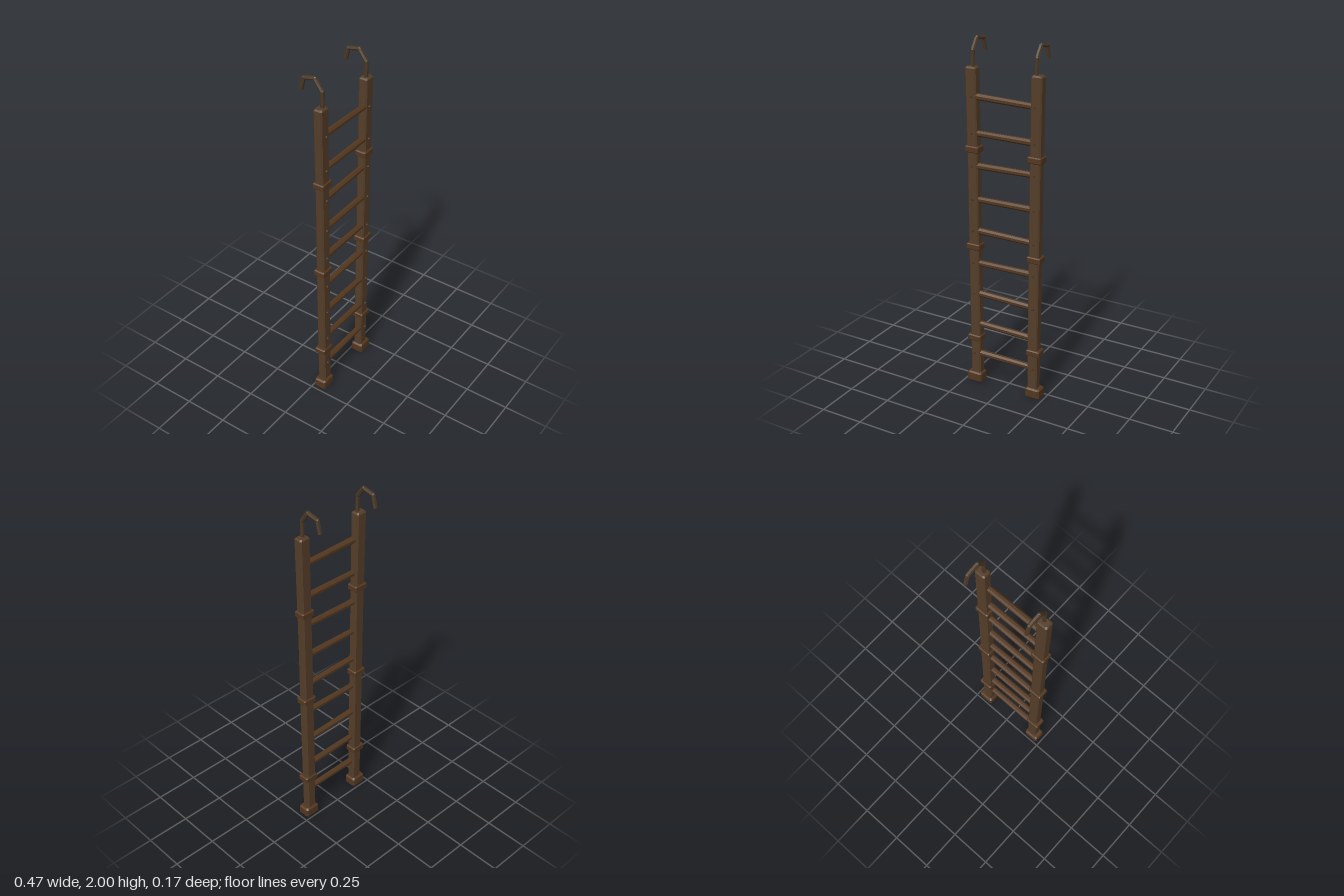
import * as THREE from 'three';

const Z = 0.046; // depth centre of the ladder frame

// Chamfered rectangular bar lofted through stations [x, y, halfWidth, halfDepth]
function loft(stations, c) {
  const rings = stations.map(([x, y, w, d]) => [
    [w, d - c], [w, c - d], [w - c, -d], [c - w, -d],
    [-w, c - d], [-w, d - c], [c - w, d], [w - c, d],
  ].map(([px, pz]) => [x + px, y, Z + pz]));
  const pos = [];
  const tri = (...pts) => pts.forEach((p) => pos.push(...p));
  for (let k = 0; k < rings.length - 1; k++) {
    const lo = rings[k], hi = rings[k + 1];
    for (let i = 0; i < 8; i++) {
      const j = (i + 1) % 8;
      tri(lo[i], lo[j], hi[j]);
      tri(lo[i], hi[j], hi[i]);
    }
  }
  const bottom = rings[0], top = rings[rings.length - 1];
  for (let i = 1; i < 7; i++) {
    tri(bottom[0], bottom[i + 1], bottom[i]);
    tri(top[0], top[i], top[i + 1]);
  }
  const geo = new THREE.BufferGeometry();
  geo.setAttribute('position', new THREE.Float32BufferAttribute(pos, 3));
  geo.computeVertexNormals();
  return geo;
}

// Short block with bevelled top and bottom edges
function block(x, y0, y1, w, d, b) {
  return loft([
    [x, y0, w - b, d - b], [x, y0 + b, w, d],
    [x, y1 - b, w, d], [x, y1, w - b, d - b],
  ], b);
}

// Faceted rod between two points
function rod(a, b, r0, r1, sides) {
  const dir = b.clone().sub(a);
  const geo = new THREE.CylinderGeometry(r1, r0, dir.length(), sides);
  geo.rotateY(Math.PI / sides);
  geo.applyQuaternion(new THREE.Quaternion().setFromUnitVectors(
    new THREE.Vector3(0, 1, 0), dir.normalize()));
  const m = a.clone().add(b).multiplyScalar(0.5);
  return geo.translate(m.x, m.y, m.z);
}

export function createModel() {
  const group = new THREE.Group();
  group.name = 'ladder';
  const material = (name, color) => {
    const m = new THREE.MeshStandardMaterial({ color });
    m.name = name;
    m.flatShading = true;
    return m;
  };
  const railWood = material('railWood', 0x543d28);
  const rungWood = material('rungWood', 0x53371f);
  const hookMetal = material('hookMetal', 0x4a3826);
  const add = (name, geo, mat) => {
    const mesh = new THREE.Mesh(geo, mat);
    mesh.name = name;
    group.add(mesh);
  };

  for (const s of [-1, 1]) {
    const side = s > 0 ? 'left' : 'right';

    // Slightly crooked upright
    add(`${side}Rail`, loft([
      [s * 0.182, 0.03, 0.029, 0.024],
      [s * 0.183, 0.4, 0.031, 0.025],
      [s * 0.186, 0.85, 0.031, 0.025],
      [s * 0.188, 1.3, 0.031, 0.025],
      [s * 0.194, 1.837, 0.032, 0.026],
      [s * 0.194, 1.845, 0.025, 0.019],
    ], 0.007), railWood);

    // Foot and reinforcing bands
    add(`${side}Foot`, block(s * 0.188, 0, 0.06, 0.045, 0.036, 0.008), rungWood);
    for (const y of [0.281, 0.843, 1.402]) {
      add(`${side}Band`, block(s * 0.188, y - 0.018, y + 0.018, 0.041, 0.033, 0.005), rungWood);
    }

    // Bent hook over the back
    const path = [[1.82, 0.05], [1.93, 0.05], [1.988, 0.008], [1.974, -0.058], [1.908, -0.075]]
      .map(([y, z]) => new THREE.Vector3(s * 0.187, y, z));
    const curve = new THREE.CurvePath();
    for (let i = 0; i < path.length - 1; i++) {
      curve.add(new THREE.LineCurve3(path[i], path[i + 1]));
      add(`${side}Hook`, rod(path[i], path[i + 1], 0.0115, 0.0115, 6), hookMetal);
      if (i > 0) {
        const joint = new THREE.IcosahedronGeometry(0.0115, 1);
        add(`${side}HookBend`, joint.translate(path[i].x, path[i].y, path[i].z), hookMetal);
      }
    }
  }

  // Rungs: height, tilt from end to end, and a peg at each end
  const rungs = [
    [0.183, 0], [0.369, -0.006], [0.557, -0.007], [0.748, 0.006], [0.936, -0.003],
    [1.122, 0.005], [1.313, 0.008], [1.49, 0], [1.685, -0.007],
  ];
  rungs.forEach(([y, tilt], i) => {
    const a = new THREE.Vector3(-0.18, y - tilt / 2, 0.052);
    const b = new THREE.Vector3(0.18, y + tilt / 2, 0.052);
    const taper = i % 2 ? 0.001 : -0.001;
    add('rung', rod(a, b, 0.018 - taper, 0.018 + taper, 8), rungWood);
    for (const end of [a, b]) {
      const x = Math.sign(end.x) * 0.188;
      add('peg', rod(new THREE.Vector3(x, end.y, 0.06),
        new THREE.Vector3(x, end.y, 0.08), 0.007, 0.006, 6), hookMetal);
    }
  });

  return group;
}
